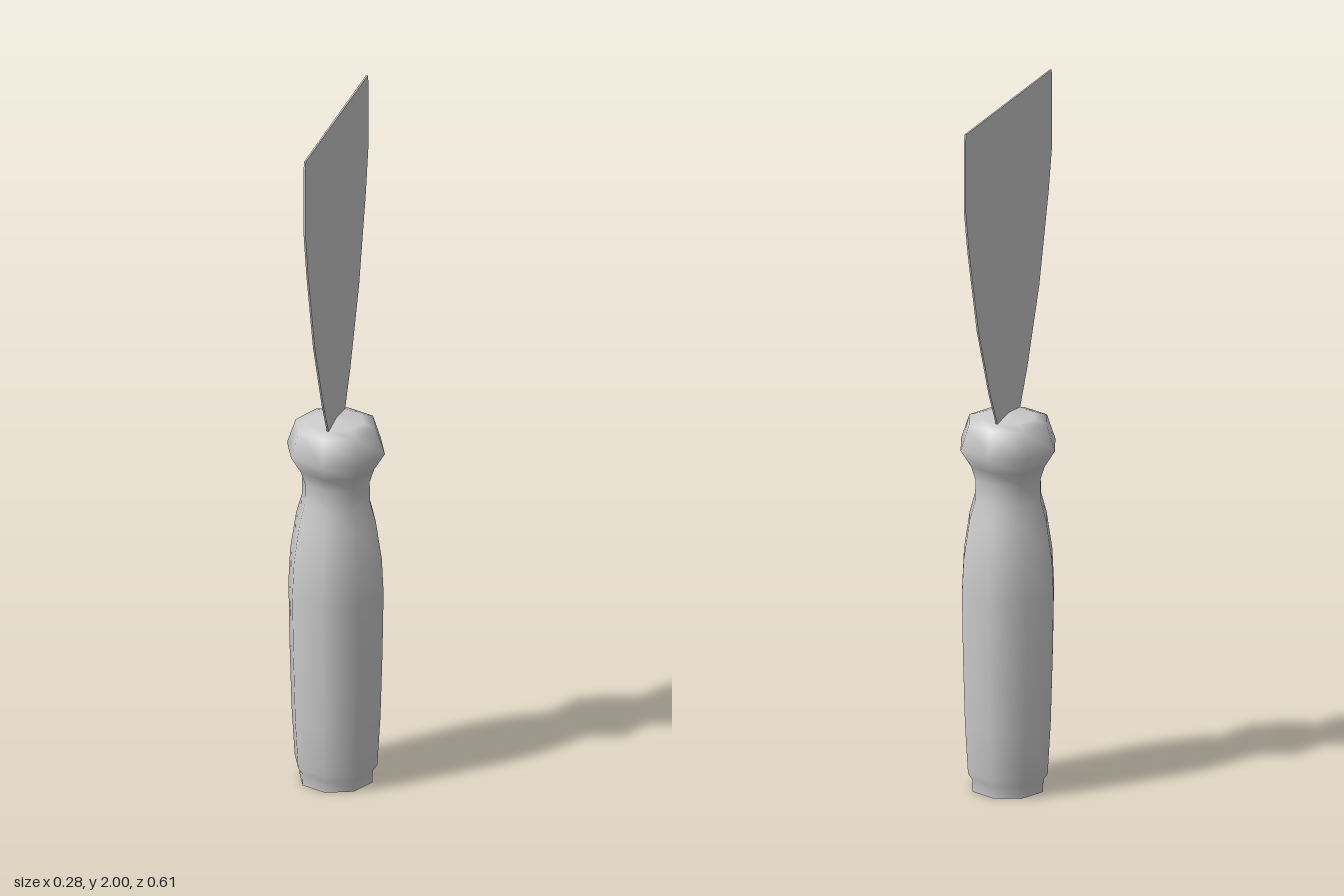
import * as THREE from 'three';

const points = (list) => list.map(([x, y]) => new THREE.Vector2(x, y));

export function createModel() {
  const group = new THREE.Group();
  const material = new THREE.MeshStandardMaterial({ color: 0xcccccc });
  const add = (name, geometry) => {
    const mesh = new THREE.Mesh(geometry, material);
    mesh.name = name;
    group.add(mesh);
    return mesh;
  };

  // Eight-sided, smoothly shaded grip with a narrow neck and flared collar
  const profile = points([
    [0.105, 0], [0.106, 0.035], [0.119, 0.055], [0.128, 0.2], [0.134, 0.4],
    [0.137, 0.58], [0.132, 0.68], [0.115, 0.79], [0.098, 0.85], [0.097, 0.91],
    [0.11, 0.95], [0.141, 1.0], [0.116, 1.073], [0.08, 1.085], [0, 1.095],
  ]);
  add('handle', new THREE.LatheGeometry(profile, 8));

  // Flat butt end closing the grip
  const butt = new THREE.CircleGeometry(0.105, 8);
  butt.rotateX(Math.PI / 2);
  add('handleEnd', butt);

  // Thin flared blade, its half outline mirrored across the centre line
  const half = [
    [0.07, 1.05], [0.08, 1.085], [0.13, 1.185], [0.215, 1.4],
    [0.28, 1.65], [0.305, 1.78], [0.305, 1.98], [0.3, 2.0],
  ];
  const mirrored = half.map(([x, y]) => [-x, y]).reverse();
  const thickness = 0.005;
  const blade = new THREE.ExtrudeGeometry(new THREE.Shape(points([...half, ...mirrored])), {
    depth: thickness, bevelEnabled: false,
  });
  blade.translate(0, 0, -thickness / 2);
  blade.rotateY(-Math.PI / 2);
  add('blade', blade);

  return group;
}
